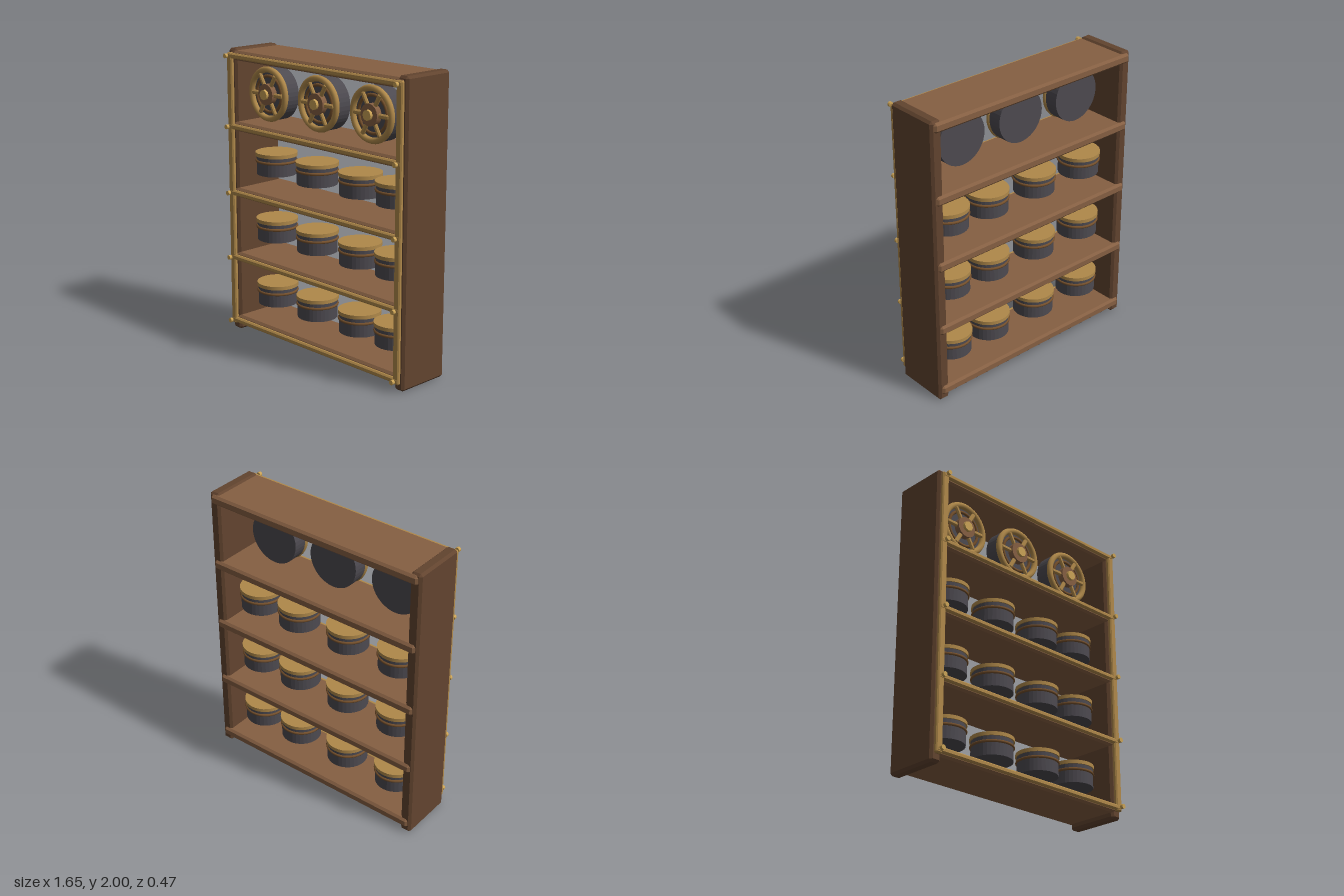
import * as THREE from 'three';
import { ConvexGeometry } from 'three/addons/geometries/ConvexGeometry.js';

const mat = (name, color, flatShading = false) => {
  const m = new THREE.MeshStandardMaterial({ color, flatShading });
  m.name = name;
  return m;
};

export function createModel() {
  const root = new THREE.Group();
  root.name = 'shelfUnit';
  const darkWood = mat('dark wood', 0x62442f);
  const wood = mat('wood', 0x855f42);
  const brass = mat('brass', 0xb0894a);
  const brightBrass = mat('bright brass', 0xcba356);
  const bronze = mat('bronze', 0x75502c);
  const iron = mat('iron', 0x4d4a50, true);

  const add = (parent, name, geo, material, x = 0, y = 0, z = 0) => {
    const m = new THREE.Mesh(geo, material);
    m.name = name;
    m.position.set(x, y, z);
    parent.add(m);
    return m;
  };

  // Box with all edges chamfered by b
  const chamferBox = (w, h, d, b) => {
    const pts = [];
    for (const sx of [-1, 1]) for (const sy of [-1, 1]) for (const sz of [-1, 1]) {
      const X = w / 2, Y = h / 2, Z = d / 2;
      pts.push(
        new THREE.Vector3(sx * X, sy * (Y - b), sz * (Z - b)),
        new THREE.Vector3(sx * (X - b), sy * Y, sz * (Z - b)),
        new THREE.Vector3(sx * (X - b), sy * (Y - b), sz * Z));
    }
    return new ConvexGeometry(pts);
  };
  const cyl = (r, h, n = 32) => new THREE.CylinderGeometry(r, r, h, n);
  const cylZ = (r, h, n = 32) => cyl(r, h, n).rotateX(Math.PI / 2);

  // Side panels and upright trims
  const panel = chamferBox(0.08, 2, 0.385, 0.016);
  const upright = chamferBox(0.05, 1.925, 0.03, 0.008);
  for (const s of [-1, 1]) {
    add(root, s > 0 ? 'leftPanel' : 'rightPanel', panel, darkWood, s * 0.784, 1, -0.025);
    add(root, s > 0 ? 'leftUprightTrim' : 'rightUprightTrim', upright, brass, s * 0.783, 1.0125, 0.183);
  }

  // Shelves with front trim and corner studs
  const shelfY = [0.075, 0.54, 1.005, 1.47, 1.955];
  const board = chamferBox(1.61, 0.066, 0.405, 0.015);
  const rail = chamferBox(1.61, 0.036, 0.03, 0.009);
  const stud = cylZ(0.016, 0.02, 12);
  shelfY.forEach((y) => {
    add(root, 'shelf', board, wood, 0, y, -0.0295);
    add(root, 'shelfTrim', rail, brass, 0, y, 0.185);
    for (const s of [-1, 1]) add(root, 'stud', stud, brightBrass, s * 0.783, y, 0.224);
  });

  // Round tins on the lower three shelves
  const tinBody = cyl(0.137, 0.13);
  const tinLid = cyl(0.145, 0.025);
  const tinBand = new THREE.TorusGeometry(0.136, 0.01, 8, 32).rotateX(Math.PI / 2);
  for (const y of [0.21, 0.677, 1.143]) {
    for (const x of [-0.563, -0.158, 0.247, 0.575]) {
      const tin = new THREE.Group();
      tin.name = 'tin';
      tin.position.set(x, y, -0.028);
      add(tin, 'tinBody', tinBody, iron, 0, 0.065, 0);
      add(tin, 'tinBand', tinBand, bronze, 0, 0.093, 0);
      add(tin, 'tinLid', tinLid, brass, 0, 0.1405, 0);
      root.add(tin);
    }
  }

  // Spoked drums on the top shelf
  const drumBody = cylZ(0.18, 0.1, 40);
  const rim = new THREE.TorusGeometry(0.166, 0.021, 10, 40);
  const innerRing = new THREE.TorusGeometry(0.122, 0.011, 8, 40);
  const spoke = chamferBox(0.1, 0.03, 0.024, 0.008).translate(0.106, 0, 0);
  for (const x of [-0.52, -0.036, 0.446]) {
    const drum = new THREE.Group();
    drum.name = 'drum';
    drum.position.set(x, 1.71, 0);
    add(drum, 'drumBody', drumBody, iron, 0, 0, 0.015);
    add(drum, 'drumRim', rim, brass, 0, 0, 0.075);
    add(drum, 'drumInnerRing', innerRing, bronze, 0, 0, 0.068);
    for (let i = 0; i < 6; i++) {
      add(drum, 'drumSpoke', spoke, brass, 0, 0, 0.083).rotation.z = i * Math.PI / 3;
    }
    add(drum, 'drumHub', cylZ(0.072, 0.045, 16), wood, 0, 0, 0.083);
    add(drum, 'drumHubCap', cylZ(0.035, 0.025, 8), brightBrass, 0, 0, 0.113);
    root.add(drum);
  }
  return root;
}
